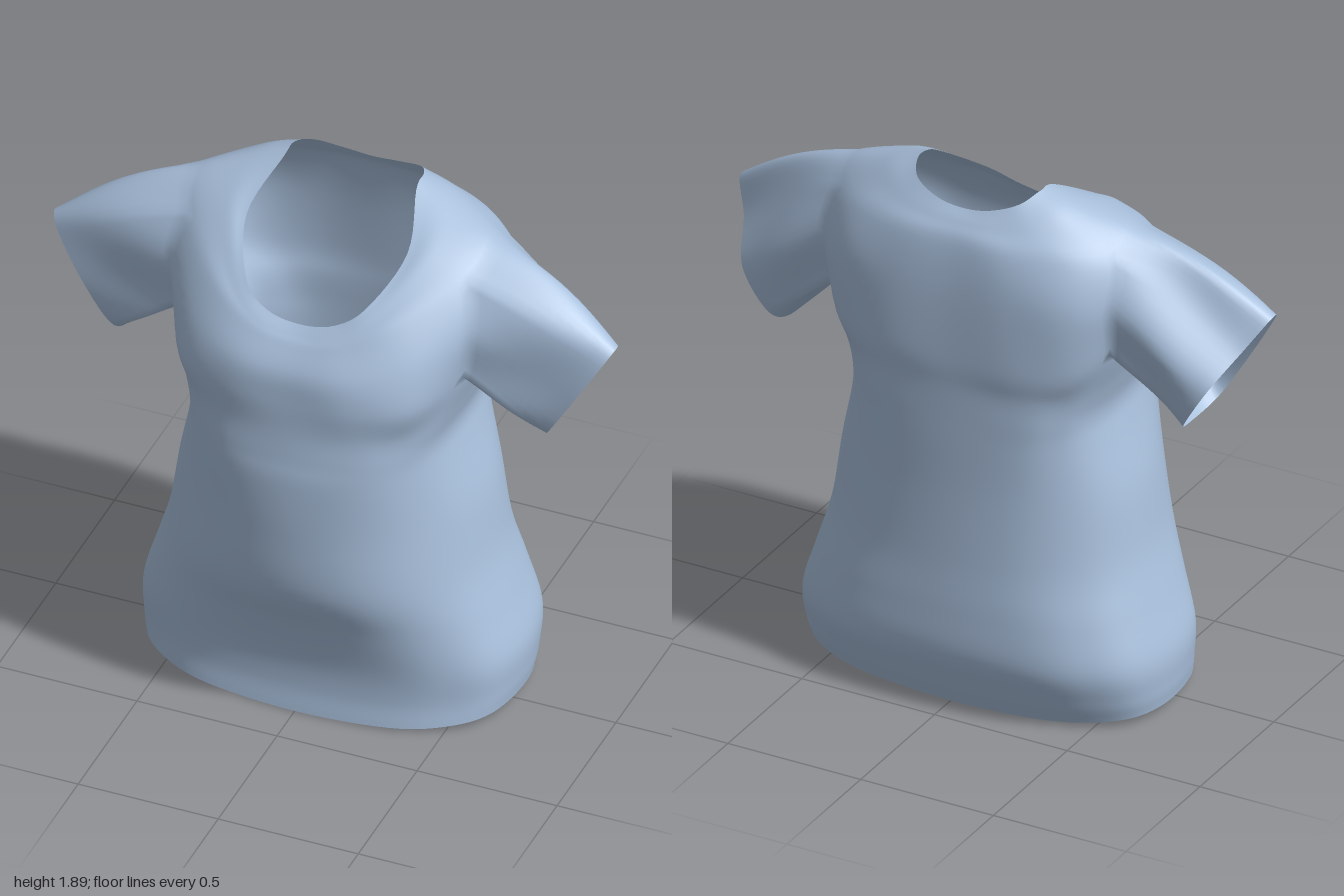
import * as THREE from 'three';

const S = 6; // subdivisions between neighbouring control points
const V = (p) => new THREE.Vector3(...p);

// Body rings below the underarm: height, half width, front z, back z, squareness of front and back
const lower = [
  [0, 0.655, 0.35, -0.39, 2.7, 2.7], [0.1, 0.665, 0.337, -0.432, 2.7, 2.7],
  [0.22, 0.666, 0.345, -0.472, 2.7, 2.7], [0.38, 0.618, 0.39, -0.468, 2.5, 2.6],
  [0.56, 0.568, 0.46, -0.453, 2.2, 2.4], [0.8, 0.53, 0.476, -0.44, 2.1, 2.4],
  [1.0, 0.478, 0.474, -0.435, 2.4, 2.7], [1.1, 0.46, 0.46, -0.432, 2.7, 3], [1.2, 0.482, 0.447, -0.43, 2.7, 3],
];

// Half rings of the yoke, each from centre front over the left side to centre back
const upper = [
  // underarm
  [[0, 1.32, 0.438], [0.22, 1.32, 0.427], [0.41, 1.33, 0.34], [0.51, 1.365, 0.135], [0.53, 1.345, -0.07],
    [0.52, 1.375, -0.25], [0.43, 1.33, -0.365], [0.25, 1.32, -0.424], [0, 1.32, -0.43]],
  // mid chest
  [[0, 1.42, 0.422], [0.2, 1.43, 0.412], [0.39, 1.47, 0.32], [0.535, 1.55, 0.14], [0.66, 1.7, -0.08],
    [0.54, 1.56, -0.28], [0.41, 1.56, -0.38], [0.22, 1.56, -0.416], [0, 1.56, -0.415]],
  // shoulder edge
  [[0, 1.5, 0.372], [0.17, 1.52, 0.36], [0.33, 1.6, 0.272], [0.5, 1.705, 0.07], [0.54, 1.777, -0.09],
    [0.52, 1.72, -0.22], [0.39, 1.72, -0.33], [0.19, 1.72, -0.385], [0, 1.72, -0.387]],
  // collar base
  [[0, 1.53, 0.342], [0.14, 1.55, 0.335], [0.26, 1.625, 0.262], [0.365, 1.765, 0.07], [0.37, 1.84, -0.11],
    [0.35, 1.835, -0.22], [0.27, 1.805, -0.302], [0.14, 1.785, -0.343], [0, 1.782, -0.35]],
  // neck opening
  [[0, 1.556, 0.312], [0.12, 1.577, 0.303], [0.215, 1.64, 0.25], [0.287, 1.765, 0.075], [0.237, 1.88, -0.12],
    [0.23, 1.89, -0.2], [0.19, 1.862, -0.27], [0.1, 1.832, -0.305], [0, 1.82, -0.312]],
];

// Left cuff, from its lower front corner under the arm, up the back and down the front
const cuff = [[0.772, 1.15, 0.045], [0.75, 1.12, -0.1], [0.78, 1.165, -0.215], [0.875, 1.32, -0.228],
  [0.94, 1.43, -0.1], [1.0, 1.526, -0.02], [0.98, 1.495, 0.045], [0.875, 1.32, 0.072]].map(V);

function lowerHalf([y, w, front, back, squareFront, squareBack], row) {
  const zc = -0.06;
  return Array.from({ length: 9 }, (_, k) => {
    const a = (k * Math.PI) / 8;
    const n = k <= 4 ? squareFront : squareBack;
    const s = Math.pow(Math.abs(Math.sin(a)), 2 / n) * (k % 8 ? 1 : 0);
    const c = k === 4 ? 0 : Math.pow(Math.abs(Math.cos(a)), 2 / n);
    const lift = row === 0 ? 0.03 * s * s : 0; // hem rises a little at the sides
    return [w * s, y + lift, zc + c * (k < 4 ? front - zc : back - zc)];
  });
}

// Mirrors a half ring into a closed ring of 16 points
const fullRing = (h) => [...h, ...h.slice(1, -1).reverse().map(([x, y, z]) => [-x, y, z])].map(V);

function sample(points, closed) {
  const curve = new THREE.CatmullRomCurve3(points, closed, 'catmullrom', 0.5);
  const n = (points.length - (closed ? 0 : 1)) * S;
  return Array.from({ length: closed ? n : n + 1 }, (_, i) => curve.getPoint(i / n));
}

export function createModel() {
  const positions = [];
  const add = (p) => positions.push(p.x, p.y, p.z) / 3 - 1;
  const quad = (out, a, b, c, d) => out.push(a, b, c, a, c, d);

  // Body surface: closed rings, smoothed from hem to neck
  const rings = [...lower.map(lowerHalf), ...upper].map((h) => sample(fullRing(h), true));
  const cols = rings[0].length;
  const columns = rings[0].map((_, c) => sample(rings.map((r) => r[c]), false));
  const rows = columns[0].length;
  const id = [];
  for (let r = 0; r < rows; r++) id.push(columns.map((col) => add(col[r])));

  // Armholes are left out of the body
  const r0 = lower.length * S, r1 = r0 + 2 * S, c0 = 3 * S, c1 = 5 * S;
  const inArmhole = (r, c) => r >= r0 && r < r1
    && ((c >= c0 && c < c1) || (c >= cols - c1 && c < cols - c0));
  const body = [];
  for (let r = 0; r < rows - 1; r++) {
    for (let c = 0; c < cols; c++) {
      const n = (c + 1) % cols;
      if (!inArmhole(r, c)) quad(body, id[r][c], id[r][n], id[r + 1][n], id[r + 1][c]);
    }
  }

  // Sleeve: grows from the edge of the armhole to the cuff
  function sleeve(side) {
    const at = (r, c) => id[r][side > 0 ? c : cols - c];
    const loop = [];
    for (let i = 0; i < 2 * S; i++) loop.push(at(r0, c0 + i));
    for (let i = 0; i < 2 * S; i++) loop.push(at(r0 + i, c1));
    for (let i = 0; i < 2 * S; i++) loop.push(at(r1, c1 - i));
    for (let i = 0; i < 2 * S; i++) loop.push(at(r1 - i, c0));
    const end = sample(cuff, true);
    const steps = 12, count = loop.length, out = [];
    let prev = loop;
    for (let s = 1; s <= steps; s++) {
      const t = s / steps, bulge = Math.sin(Math.PI * t);
      const next = loop.map((v, i) => {
        const start = V(positions.slice(v * 3, v * 3 + 3));
        start.x *= side;
        const p = start.lerp(end[i], t);
        const a = (i / count) * Math.PI * 2;
        const top = Math.max(0, Math.cos(a - (5 * Math.PI) / 4));
        p.y += 0.035 * bulge * top; // rounded shoulder
        p.z += 0.014 * bulge * Math.sin(4 * a + 2 * t); // soft folds
        p.x *= side;
        return add(p);
      });
      for (let i = 0; i < count; i++) {
        const n = (i + 1) % count;
        if (side > 0) quad(out, prev[i], prev[n], next[n], next[i]);
        else quad(out, prev[n], prev[i], next[i], next[n]);
      }
      prev = next;
    }
    return out;
  }
  const parts = { body, leftSleeve: sleeve(1), rightSleeve: sleeve(-1) };

  // Shared normals keep the armhole seams smooth
  const whole = new THREE.BufferGeometry();
  whole.setAttribute('position', new THREE.Float32BufferAttribute(positions, 3));
  whole.setIndex(Object.values(parts).flat());
  whole.computeVertexNormals();

  const material = new THREE.MeshStandardMaterial({ color: 0xa9c0dc, side: THREE.DoubleSide });
  const group = new THREE.Group();
  group.name = 'shirt';
  for (const [name, index] of Object.entries(parts)) {
    const geometry = new THREE.BufferGeometry();
    geometry.setAttribute('position', whole.getAttribute('position'));
    geometry.setAttribute('normal', whole.getAttribute('normal'));
    geometry.setIndex(index);
    const mesh = new THREE.Mesh(geometry, material);
    mesh.name = name;
    group.add(mesh);
  }
  return group;
}
